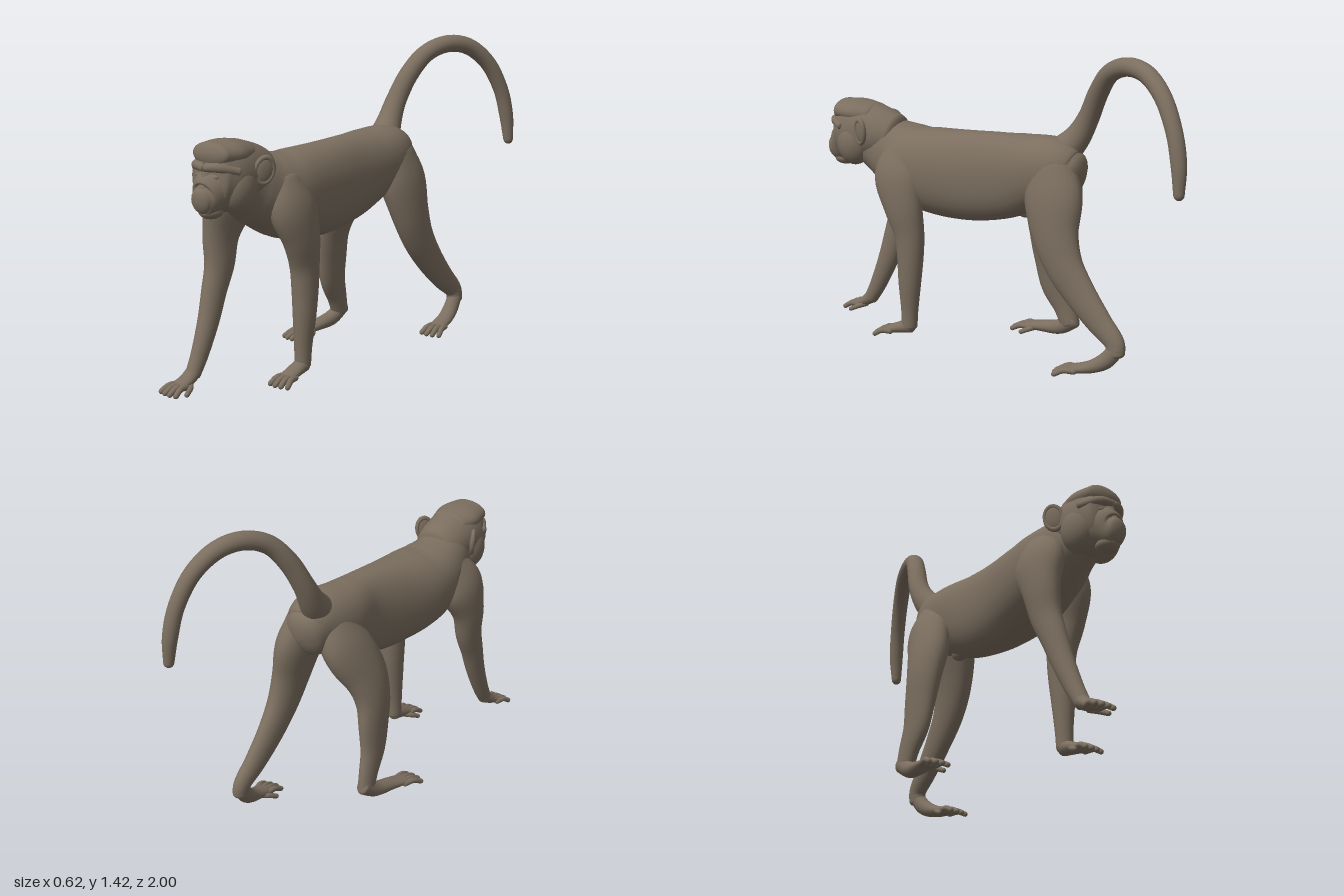
import * as THREE from 'three';

const fur = new THREE.MeshStandardMaterial({ color: 0x7b6e5f });
fur.name = 'brownFur';

// Smooth tube through sections [x, y, z, half width, half depth] with rounded ends.
// A power below 1 makes the cross-section squarer.
function sweep(name, sections, { steps = 40, sides = 24, cap = 0.6, power = 1 } = {}) {
  const path = new THREE.CatmullRomCurve3(sections.map(s => new THREE.Vector3(s[0], s[1], s[2])), false, 'catmullrom', 0.5);
  const radii = new THREE.CatmullRomCurve3(sections.map(s => new THREE.Vector3(s[3], s[4], 0)), false, 'catmullrom', 0.5);
  const capRings = 6, pos = [], index = [];
  const xAxis = new THREE.Vector3(1, 0, 0);
  const bulge = v => Math.sign(v) * Math.abs(v) ** power;
  for (let i = -capRings; i <= steps + capRings; i++) {
    const t = THREE.MathUtils.clamp(i / steps, 0, 1);
    const over = i < 0 ? i : Math.max(0, i - steps);
    const bend = (over / capRings) * Math.PI / 2;
    const c = path.getPoint(t), r = radii.getPoint(t), T = path.getTangent(t);
    const S = xAxis.clone().addScaledVector(T, -T.x).normalize();
    const O = new THREE.Vector3().crossVectors(T, S);
    c.addScaledVector(T, Math.sin(bend) * Math.min(r.x, r.y) * cap);
    const k = Math.max(Math.cos(bend), 0.01);
    for (let j = 0; j < sides; j++) {
      const a = j / sides * Math.PI * 2;
      const p = c.clone().addScaledVector(S, bulge(Math.cos(a)) * r.x * k).addScaledVector(O, bulge(Math.sin(a)) * r.y * k);
      pos.push(p.x, p.y, p.z);
    }
  }
  const rings = steps + 2 * capRings;
  for (let i = 0; i < rings; i++) for (let j = 0; j < sides; j++) {
    const n = (j + 1) % sides;
    const a = i * sides + j, b = i * sides + n, c = b + sides, d = a + sides;
    index.push(a, b, c, a, c, d);
  }
  const g = new THREE.BufferGeometry();
  g.setAttribute('position', new THREE.Float32BufferAttribute(pos, 3));
  g.setIndex(index);
  g.computeVertexNormals();
  const mesh = new THREE.Mesh(g, fur);
  mesh.name = name;
  return mesh;
}

function ellipsoid(name, [x, y, z], [rx, ry, rz]) {
  const mesh = new THREE.Mesh(new THREE.SphereGeometry(1, 32, 20), fur);
  mesh.position.set(x, y, z);
  mesh.scale.set(rx, ry, rz);
  mesh.name = name;
  return mesh;
}

// Hand or foot: a flat palm, four bent fingers and a thumb on the inner side.
function paw(name, palm, heading, length, inner) {
  const g = new THREE.Group();
  g.name = name;
  g.add(sweep(name + 'Palm', palm, { steps: 16, sides: 16 }));
  const [kx, , kz] = palm[palm.length - 1];
  const fx = Math.sin(heading), fz = Math.cos(heading);
  const at = (across, along, y) => [kx + fz * across + fx * along, y, kz - fx * across + fz * along];
  const digit = (label, pts, r) =>
    g.add(sweep(label, pts.map((p, i) => [...p, r * (1 - i * 0.08), r * (1 - i * 0.08)]), { steps: 10, sides: 10, cap: 1 }));
  for (let i = 0; i < 4; i++) {
    const s = i - 1.5, len = length * (1 - 0.1 * Math.abs(s));
    digit('finger', [at(s * 0.021, -0.015, 0.042), at(s * 0.026, len * 0.45, 0.042), at(s * 0.031, len, 0.023)], 0.0145);
  }
  digit('thumb', [at(inner * 0.015, -0.05, 0.045), at(inner * 0.045, -0.025, 0.037), at(inner * 0.062, 0.012, 0.02)], 0.0135);
  return g;
}

function buildHead() {
  const head = new THREE.Group();
  head.name = 'head';
  // Skull, running from the nape to the flat face
  head.add(sweep('skull', [
    [0, 0.95, 0.59, 0.11, 0.11], [0, 0.962, 0.66, 0.125, 0.128], [0, 0.968, 0.74, 0.131, 0.146],
    [0, 0.967, 0.81, 0.125, 0.15], [0, 0.97, 0.865, 0.105, 0.136],
  ], { cap: 0.32, sides: 32 }));
  head.add(sweep('crown', [
    [0, 1.055, 0.70, 0.095, 0.05], [0, 1.06, 0.78, 0.113, 0.059], [0, 1.065, 0.865, 0.098, 0.052],
  ], { sides: 32 }));
  // Face narrowing into the muzzle
  head.add(sweep('muzzle', [
    [0, 0.925, 0.80, 0.115, 0.115], [0, 0.905, 0.86, 0.092, 0.1], [0, 0.882, 0.905, 0.066, 0.075],
    [0, 0.878, 0.93, 0.05, 0.055],
  ], { steps: 24, sides: 32, cap: 0.5 }));
  head.add(ellipsoid('chin', [0, 0.828, 0.872], [0.052, 0.034, 0.054]));
  // Brow ridge and nose bridge
  head.add(sweep('brow', [
    [-0.118, 1.0, 0.825, 0.014, 0.016], [-0.065, 1.018, 0.888, 0.018, 0.02], [0, 1.017, 0.906, 0.02, 0.018],
    [0.065, 1.018, 0.888, 0.018, 0.02], [0.118, 1.0, 0.825, 0.014, 0.016],
  ], { sides: 16 }));
  head.add(sweep('nose', [
    [0, 1.0, 0.89, 0.024, 0.022], [0, 0.945, 0.908, 0.025, 0.022], [0, 0.9, 0.932, 0.027, 0.02],
  ], { steps: 16, sides: 16 }));
  for (const s of [-1, 1]) {
    head.add(ellipsoid('cheek', [s * 0.066, 0.92, 0.775], [0.075, 0.108, 0.088]));
    head.add(ellipsoid('eye', [s * 0.045, 0.978, 0.893], [0.018, 0.01, 0.009]));
    // Ear: thin shell with a thick curled rim, flared at the top
    const ear = new THREE.Group();
    ear.name = 'ear';
    ear.add(ellipsoid('earShell', [0, 0, 0], [0.04, 0.056, 0.014]));
    const rim = new THREE.Mesh(new THREE.TorusGeometry(0.05, 0.011, 10, 28), fur);
    rim.name = 'earRim';
    rim.scale.set(0.8, 1.1, 1);
    ear.add(rim);
    ear.position.set(s * 0.14, 0.988, 0.695);
    ear.rotation.set(0.15, s * 1.05, s * -0.3);
    head.add(ear);
  }
  return head;
}

export function createModel() {
  const model = new THREE.Group();
  model.name = 'monkey';

  // Trunk from rump to neck
  model.add(sweep('body', [
    [0.04, 0.865, -0.355, 0.1, 0.115], [0.04, 0.888, -0.28, 0.13, 0.147], [0.025, 0.862, -0.15, 0.138, 0.174],
    [0.025, 0.83, 0, 0.128, 0.2], [0.015, 0.81, 0.2, 0.146, 0.21], [0, 0.818, 0.4, 0.172, 0.198],
    [-0.015, 0.855, 0.53, 0.165, 0.17], [-0.012, 0.895, 0.63, 0.138, 0.145], [0, 0.925, 0.71, 0.108, 0.118],
  ], { steps: 64, sides: 40, power: 0.9 }));
  model.add(ellipsoid('groin', [0.02, 0.69, -0.12], [0.035, 0.045, 0.055]));

  model.add(buildHead());

  // Tail arching up, over and down to one side
  model.add(sweep('tail', [
    [0.02, 0.95, -0.29, 0.08, 0.08], [0.0, 1.035, -0.365, 0.059, 0.06], [0.0, 1.13, -0.42, 0.05, 0.048],
    [0.03, 1.25, -0.48, 0.046, 0.045], [0.075, 1.345, -0.555, 0.043, 0.042], [0.125, 1.385, -0.66, 0.041, 0.041],
    [0.175, 1.365, -0.77, 0.04, 0.04], [0.225, 1.28, -0.865, 0.038, 0.038], [0.26, 1.15, -0.93, 0.036, 0.036],
    [0.277, 1.02, -0.96, 0.034, 0.034], [0.287, 0.9, -0.968, 0.024, 0.024],
  ], { steps: 70, cap: 1.1 }));

  // Right foreleg reaching forward
  model.add(sweep('rightForeleg', [
    [-0.085, 0.9, 0.55, 0.075, 0.1], [-0.14, 0.79, 0.6, 0.083, 0.135], [-0.165, 0.66, 0.635, 0.066, 0.098],
    [-0.16, 0.53, 0.655, 0.056, 0.078], [-0.157, 0.42, 0.695, 0.05, 0.063], [-0.152, 0.29, 0.742, 0.044, 0.052],
    [-0.15, 0.16, 0.8, 0.037, 0.042], [-0.15, 0.08, 0.845, 0.034, 0.034],
  ]));
  model.add(paw('rightHand', [
    [-0.15, 0.09, 0.836, 0.034, 0.034], [-0.155, 0.06, 0.88, 0.038, 0.026], [-0.162, 0.045, 0.92, 0.04, 0.019],
  ], -0.08, 0.07, 1));

  // Left foreleg standing upright
  model.add(sweep('leftForeleg', [
    [0.075, 0.9, 0.5, 0.075, 0.1], [0.122, 0.79, 0.495, 0.08, 0.125], [0.143, 0.66, 0.462, 0.068, 0.1],
    [0.137, 0.53, 0.434, 0.06, 0.075], [0.136, 0.42, 0.43, 0.056, 0.065], [0.136, 0.29, 0.435, 0.049, 0.055],
    [0.132, 0.16, 0.44, 0.039, 0.042], [0.131, 0.075, 0.443, 0.036, 0.038],
  ]));
  model.add(paw('leftHand', [
    [0.131, 0.075, 0.44, 0.035, 0.035], [0.131, 0.06, 0.495, 0.039, 0.027], [0.132, 0.045, 0.55, 0.041, 0.019],
  ], 0.05, 0.07, -1));

  // Right hind leg stepping forward
  model.add(sweep('rightHindLeg', [
    [-0.02, 0.89, -0.25, 0.08, 0.1], [-0.08, 0.78, -0.225, 0.085, 0.13], [-0.138, 0.64, -0.165, 0.076, 0.12],
    [-0.17, 0.52, -0.15, 0.064, 0.102], [-0.182, 0.4, -0.16, 0.052, 0.093], [-0.19, 0.28, -0.175, 0.042, 0.08],
    [-0.197, 0.18, -0.215, 0.036, 0.06], [-0.2, 0.1, -0.24, 0.034, 0.048],
  ]));
  model.add(paw('rightFoot', [
    [-0.2, 0.115, -0.262, 0.032, 0.038], [-0.21, 0.07, -0.185, 0.036, 0.036], [-0.225, 0.055, -0.09, 0.039, 0.027],
    [-0.243, 0.045, -0.01, 0.042, 0.019],
  ], -0.15, 0.088, 1));

  // Left hind leg trailing behind
  model.add(sweep('leftHindLeg', [
    [0.085, 0.9, -0.285, 0.085, 0.115], [0.122, 0.77, -0.31, 0.085, 0.138], [0.15, 0.62, -0.335, 0.07, 0.112],
    [0.163, 0.49, -0.385, 0.058, 0.092], [0.17, 0.37, -0.47, 0.048, 0.077], [0.18, 0.26, -0.568, 0.041, 0.061],
    [0.19, 0.185, -0.645, 0.036, 0.047], [0.196, 0.13, -0.655, 0.034, 0.044],
  ]));
  model.add(paw('leftFoot', [
    [0.194, 0.16, -0.665, 0.033, 0.036], [0.203, 0.095, -0.61, 0.036, 0.037], [0.216, 0.06, -0.54, 0.039, 0.028],
    [0.226, 0.045, -0.465, 0.042, 0.019],
  ], 0.1, 0.085, -1));

  return model;
}
